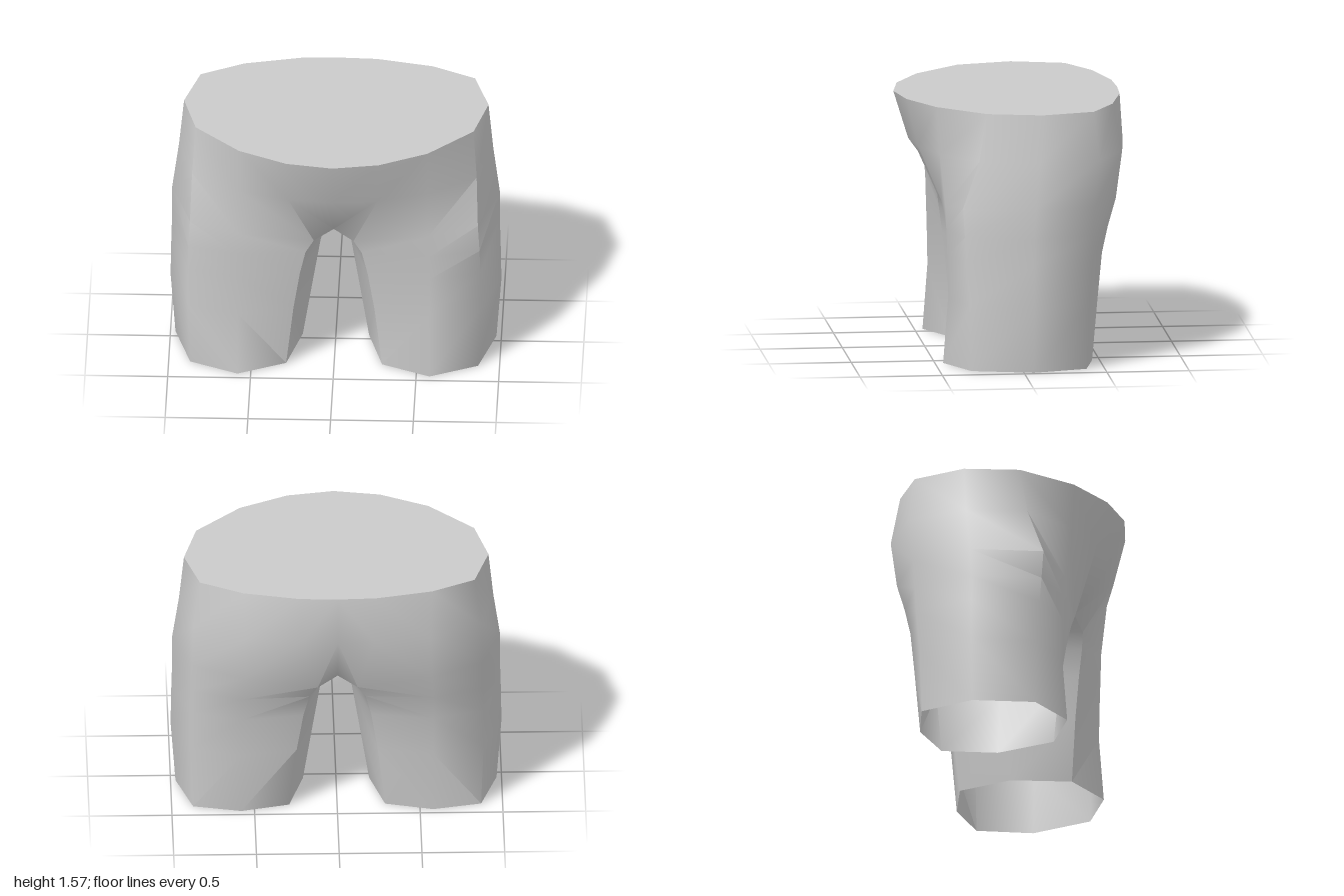
import * as THREE from 'three';
import { toCreasedNormals } from 'three/addons/utils/BufferGeometryUtils.js';

// Eight-sided leg ring: inner, inner front, front, outer front, outer, outer back, back, inner back
function legRing(y, inner, innerSide, outerSide, outer, front, frontSide, back, backSide) {
  return [
    [inner, y, -0.05], [innerSide, y, frontSide[0]], [0.58, y, front], [outerSide, y, frontSide[1]],
    [outer, y, -0.06], [outerSide, y, backSide[1]], [0.58, y, back], [innerSide, y, backSide[0]],
  ];
}

// Half ring of the hips, from front centre round the outside to back centre
function hipRing(y, xz) {
  return xz.map(([x, z]) => [x, y, z]);
}

const legRings = [
  legRing(0, 0.2, 0.29, 0.87, 0.97, 0.45, [0.31, 0.31], -0.455, [-0.38, -0.39]),
  legRing(0.4, 0.135, 0.245, 0.885, 1.0, 0.42, [0.34, 0.32], -0.49, [-0.42, -0.4]),
  legRing(0.66, 0.092, 0.205, 0.885, 0.995, 0.425, [0.37, 0.34], -0.515, [-0.46, -0.42]),
  legRing(0.82, 0.04, 0.17, 0.88, 0.99, 0.43, [0.395, 0.35], -0.55, [-0.52, -0.43]),
];

// Ring where the two legs join
const crotch = [0, 0.9, -0.07];
const joinRing = [
  [0, 0.975, 0.38], [0.12, 0.91, 0.41], [0.57, 0.96, 0.435], [0.87, 1.0, 0.36], [0.99, 1.0, -0.07],
  [0.88, 1.0, -0.44], [0.57, 0.99, -0.6], [0.12, 0.91, -0.57], [0, 0.985, -0.56],
];

const hip = hipRing(1.28, [
  [0, 0.6], [0.27, 0.57], [0.57, 0.47], [0.86, 0.26], [0.95, -0.1],
  [0.87, -0.47], [0.56, -0.64], [0.22, -0.68], [0, -0.695],
]);
const waist = hipRing(1.57, [
  [0, 0.69], [0.28, 0.64], [0.57, 0.49], [0.84, 0.21], [0.92, -0.12],
  [0.83, -0.44], [0.57, -0.58], [0.23, -0.66], [0, -0.67],
]);

function createBody() {
  const positions = [];
  // Each triangle is added together with its mirror image
  const tri = (a, b, c) => {
    positions.push(...a, ...b, ...c);
    for (const [x, y, z] of [a, c, b]) positions.push(-x, y, z);
  };
  const strip = (low, high, closed) => {
    const n = low.length;
    for (let i = 0; i < (closed ? n : n - 1); i++) {
      const j = (i + 1) % n;
      tri(low[i], low[j], high[j]);
      tri(low[i], high[j], high[i]);
    }
  };

  // Legs, open at the hem
  const tubes = [...legRings, [crotch, ...joinRing.slice(1, 8)]];
  for (let r = 0; r < tubes.length - 1; r++) strip(tubes[r], tubes[r + 1], true);

  // Underside between the legs
  tri(joinRing[1], joinRing[0], crotch);
  tri(joinRing[8], joinRing[7], crotch);

  // Hips
  strip(joinRing, hip, false);
  strip(hip, waist, false);

  const geometry = new THREE.BufferGeometry();
  geometry.setAttribute('position', new THREE.Float32BufferAttribute(positions, 3));
  return toCreasedNormals(geometry, THREE.MathUtils.degToRad(60));
}

// Flat lid closing the waist
function createLid() {
  const right = waist.map(([x, , z]) => new THREE.Vector2(x, -z));
  const left = right.slice(1, -1).reverse().map((p) => new THREE.Vector2(-p.x, p.y));
  const geometry = new THREE.ShapeGeometry(new THREE.Shape([...right, ...left]));
  return geometry.rotateX(-Math.PI / 2).translate(0, waist[0][1], 0);
}

export function createModel() {
  const material = new THREE.MeshStandardMaterial({ color: 0xcccccc, side: THREE.DoubleSide });
  const group = new THREE.Group();
  group.name = 'shorts';

  const body = new THREE.Mesh(createBody(), material);
  body.name = 'hipsAndLegs';
  const lid = new THREE.Mesh(createLid(), material);
  lid.name = 'waistLid';

  group.add(body, lid);
  return group;
}
